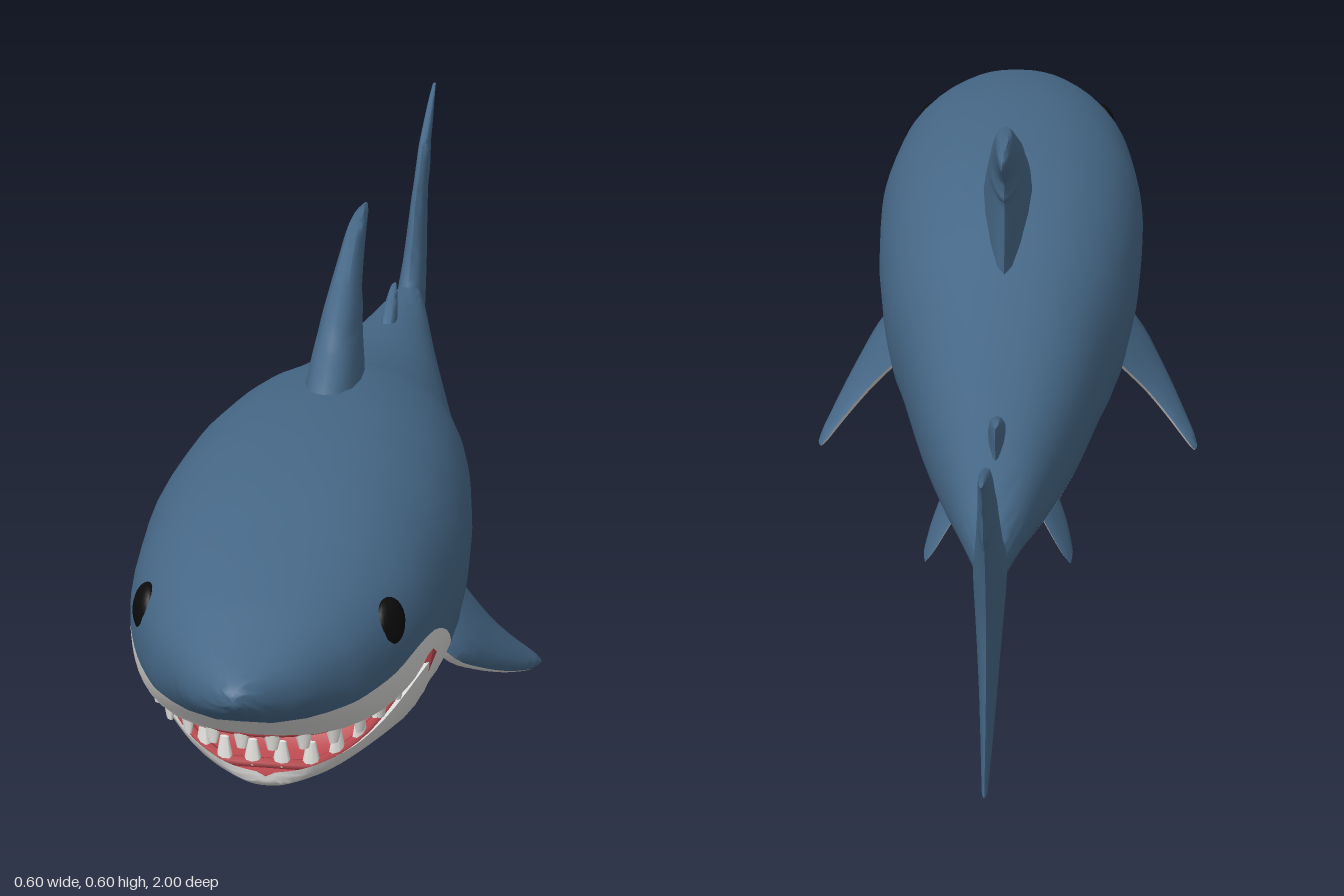
import * as THREE from 'three';
import { toCreasedNormals } from 'three/addons/utils/BufferGeometryUtils.js';

const material = (name, color) => Object.assign(new THREE.MeshStandardMaterial({ color }), { name });
const blue = material('slate blue skin', 0x466887);
const white = material('pale belly', 0xdad9d8);
const red = material('mouth red', 0xb8484e);
const ivory = material('tooth white', 0xe4e3df);
const black = material('eye black', 0x0b0b0b);
const skin = [blue, white, red];
const BLUE = 0, WHITE = 1, RED = 2;

// Smoothly subdivides a table of rows, all columns at once
function resample(rows, n) {
  const out = [];
  for (let i = 0; i < rows.length - 1; i++) {
    const p = k => rows[Math.min(Math.max(i + k, 0), rows.length - 1)];
    for (let k = 0; k < n; k++) {
      const t = k / n, t2 = t * t, t3 = t2 * t;
      out.push(rows[i].map((a, c) => {
        const b = p(1)[c], m0 = (b - p(-1)[c]) / 2, m1 = (p(2)[c] - a) / 2;
        return (2 * t3 - 3 * t2 + 1) * a + (t3 - 2 * t2 + t) * m0 + (3 * t2 - 2 * t3) * b + (t3 - t2) * m1;
      }));
    }
  }
  out.push(rows[rows.length - 1]);
  return out;
}

// Skins closed rings, closes both ends, and sorts the faces by material
function loft(name, rings, materialOf) {
  const n = rings[0].length;
  const collapse = ring => {
    const c = ring.reduce((s, p) => s.add(p), new THREE.Vector3()).divideScalar(n);
    return ring.map(() => c);
  };
  const all = [collapse(rings[0]), ...rings, collapse(rings[rings.length - 1])];
  const pts = all.flat();
  const faces = skin.map(() => []);
  let volume = 0;
  for (let i = 0; i < all.length - 1; i++) {
    for (let j = 0; j < n; j++) {
      const a = i * n + j, b = i * n + (j + 1) % n, d = a + n, c = b + n;
      const m = materialOf(Math.min(Math.max(i - 1, 0), rings.length - 2), j);
      for (const f of [[a, d, b], [b, d, c]]) {
        faces[m].push(f);
        volume += pts[f[0]].dot(pts[f[1]].clone().cross(pts[f[2]]));
      }
    }
  }
  const geo = new THREE.BufferGeometry().setFromPoints(pts);
  const index = [];
  faces.forEach((list, m) => {
    if (!list.length) return;
    geo.addGroup(index.length, list.length * 3, m);
    list.forEach(f => index.push(...(volume < 0 ? [f[0], f[2], f[1]] : f)));
  });
  geo.setIndex(index);
  const mesh = new THREE.Mesh(toCreasedNormals(geo, 1.0), skin);
  mesh.name = name;
  return mesh;
}

// Body cross-section: a slightly squared oval with separate upper and lower heights
const POW = 0.87;
const soft = v => Math.sign(v) * Math.abs(v) ** POW;
function onSection({ z, top, mid, bot, w }, a) {
  const s = Math.sin(a);
  return new THREE.Vector3(w * soft(Math.cos(a)), mid + (s > 0 ? top - mid : mid - bot) * soft(s), z);
}
function angleAt({ mid, bot }, y) {
  const s = Math.min(Math.max((mid - y) / (mid - bot), 0), 1);
  return -Math.asin(s ** (1 / POW));
}
function arc(sec, from, to, n) {
  return Array.from({ length: n }, (_, k) => onSection(sec, from + (to - from) * k / n));
}
// Line across the mouth from p to q, bowed up or down in the middle
function across(p, q, n, bow) {
  return Array.from({ length: n }, (_, k) => {
    const u = k / n, v = p.clone().lerp(q, u);
    v.y += bow * (1 - (2 * u - 1) ** 4);
    return v;
  });
}

// z, top, widest height, bottom, half width, colour border, lip height
const bodyRows = resample([
  [1.0, .352, .345, .338, .004, .30, .30], [.975, .366, .335, .312, .035, .29, .29],
  [.93, .382, .325, .28, .078, .283, .25], [.87, .403, .312, .236, .12, .28, .225],
  [.84, .411, .308, .212, .137, .28, .222], [.78, .425, .30, .165, .163, .282, .23],
  [.72, .436, .292, .12, .183, .29, .245], [.66, .446, .286, .088, .196, .284, .258],
  [.58, .455, .28, .07, .205, .245, .19], [.48, .459, .275, .05, .213, .175, .13],
  [.40, .458, .268, .041, .212, .142, .105], [.28, .45, .26, .037, .205, .134, .1],
  [.12, .423, .238, .041, .184, .135, .1], [0, .388, .225, .055, .157, .14, .11],
  [-.2, .337, .215, .09, .118, .152, .13], [-.4, .305, .22, .148, .076, .182, .17],
  [-.55, .285, .236, .2, .045, .214, .208], [-.63, .277, .245, .214, .027, .227, .222],
  [-.7, .27, .247, .225, .01, .234, .23],
], 3).map(([z, top, mid, bot, w, border, lip]) => ({ z, top, mid, bot, w, border, lip }));
const hinge = bodyRows.find(r => r.z < .65);

// z, widest height, bottom, half width, lip height; ends on the body's own section
const jawRows = [...resample([
  [.79, .139, .124, .012, .136], [.785, .155, .114, .045, .14], [.772, .185, .109, .08, .147],
  [.75, .215, .104, .118, .16], [.72, .25, .098, .15, .182], [.68, .274, .091, .179, .22],
], 3), [hinge.z, hinge.mid, hinge.bot, hinge.w, hinge.lip]]
  .map(([z, mid, bot, w, lip]) => ({ z, top: mid, mid, bot, w, lip }));

function makeBody() {
  const rings = bodyRows.map(r => {
    const b = angleAt(r, r.border), l = Math.min(b, angleAt(r, r.lip)), P = Math.PI;
    const middle = r.z > .65
      ? across(onSection(r, P - l), onSection(r, 2 * P + l), 10, r.z < .85 ? .025 : 0)
      : arc(r, P - l, 2 * P + l, 10);
    return [...arc(r, b, P - b, 24), ...arc(r, P - b, P - l, 4), ...middle, ...arc(r, l, b, 4)];
  });
  return loft('body', rings, (i, j) => {
    if (j < 24) return BLUE;
    const z = bodyRows[i].z;
    return j >= 28 && j < 38 && z > .65 && z < .855 ? RED : WHITE;
  });
}

function makeJaw() {
  const rings = jawRows.map(r => {
    const l = angleAt(r, r.lip), P = Math.PI;
    const floor = across(onSection(r, 2 * P + l), onSection(r, P - l), 12, -Math.min(.03, (r.lip - r.bot) * .4));
    return [...arc(r, P - l, 2 * P + l, 20), ...floor];
  });
  return loft('lowerJaw', rings, (i, j) => (j > 20 && j < 31 ? RED : WHITE));
}

// Row of blunt teeth on a gum that follows the lip
function makeTeeth(name, rows, front, count, height, dir) {
  const group = new THREE.Group();
  group.name = name;
  const side = s => rows.map(r => {
    const p = onSection(r, angleAt(r, r.lip));
    return new THREE.Vector3(s * p.x * .92, r.lip - dir * .003, r.z - .006);
  });
  const path = new THREE.CatmullRomCurve3([...side(-1).reverse(), front, ...side(1)]);
  const gum = new THREE.Mesh(new THREE.TubeGeometry(path, 40, .007, 6), red);
  gum.name = name + 'Gum';
  group.add(gum);
  const geo = new THREE.CylinderGeometry(.006, .0125, height, 8);
  for (let k = 0; k < count; k++) {
    const u = (k + .5) / count, t = path.getTangentAt(u);
    const tooth = new THREE.Mesh(geo, ivory);
    tooth.name = 'tooth';
    tooth.position.copy(path.getPointAt(u));
    tooth.position.y += dir * height * .45;
    tooth.rotation.set(dir < 0 ? Math.PI : 0, -Math.atan2(t.z, t.x) * dir, 0);
    tooth.rotation.order = 'YXZ';
    tooth.rotation.y = -Math.atan2(t.z, t.x);
    tooth.scale.z = .5;
    group.add(tooth);
  }
  return group;
}

// Fin from rows of span, leading edge z, trailing edge z, half thickness
function makeFin(name, rows, place, underside = BLUE) {
  const N = 14;
  const rings = resample(rows, 3).map(([s, lead, trail, half]) =>
    Array.from({ length: N }, (_, k) => {
      const a = k / N * 2 * Math.PI, c = Math.cos(a);
      return place(s, trail + (lead - trail) * (1 + c) / 2, half * Math.sin(a) * (.85 + .35 * c));
    }));
  return loft(name, rings, (i, j) => (j < N / 2 ? BLUE : underside));
}

export function createModel() {
  const model = new THREE.Group();
  model.name = 'shark';
  model.add(makeBody(), makeJaw());

  model.add(makeTeeth('upperTeeth', bodyRows.filter(r => r.z < .842 && r.z > .67),
    new THREE.Vector3(0, .226, .85), 14, .026, -1));
  model.add(makeTeeth('lowerTeeth', jawRows.filter(r => r.z < .78 && r.z > .67),
    new THREE.Vector3(0, .142, .777), 12, .034, 1));

  // Upright fins on the centre line
  const upright = (s, z, t) => new THREE.Vector3(t, s, z);
  model.add(makeFin('dorsalFin', [
    [.37, .40, -.02, .05], [.45, .31, -.005, .039], [.488, .25, 0, .033], [.498, .236, -.018, .031],
    [.52, .205, -.012, .027], [.55, .145, -.055, .021], [.575, .088, -.105, .016],
    [.59, .045, -.125, .013], [.6, -.02, -.08, .007],
  ], upright));
  model.add(makeFin('rearDorsalFin', [
    [.27, -.30, -.46, .016], [.31, -.35, -.458, .013], [.33, -.39, -.462, .01], [.345, -.43, -.46, .005],
  ], upright));
  model.add(makeFin('tailFin', [
    [.065, -.895, -.92, .004], [.08, -.82, -.91, .007], [.11, -.73, -.885, .011], [.15, -.67, -.86, .015],
    [.2, -.62, -.842, .02], [.25, -.59, -.835, .024], [.3, -.655, -.85, .02], [.35, -.695, -.868, .016],
    [.395, -.73, -.892, .013], [.41, -.745, -.922, .012], [.46, -.81, -.932, .01],
    [.475, -.838, -.955, .009], [.51, -.925, -.975, .006], [.53, -.985, -1.0, .003],
  ], upright));

  for (const s of [1, -1]) {
    const side = s > 0 ? 'left' : 'right';
    // Slanted paired fins, pale beneath
    const slanted = (x, y, dx, dy) => (d, z, t) => {
      const len = Math.hypot(dx, dy);
      return new THREE.Vector3(s * (x + dx * d - dy / len * t), y + dy * d + dx / len * t, z);
    };
    model.add(makeFin(side + 'PectoralFin', [
      [0, .43, .2, .034], [.3, .412, .213, .029], [.5, .37, .215, .023], [.7, .315, .203, .017],
      [.85, .265, .187, .012], [.95, .225, .178, .009], [1, .195, .18, .005],
    ], slanted(.155, .165, .142, -.16), WHITE));
    model.add(makeFin(side + 'PelvicFin', [
      [0, -.18, -.33, .013], [.4, -.21, -.345, .011], [.75, -.25, -.355, .008], [1, -.30, -.352, .004],
    ], slanted(.062, .145, .04, -.06), WHITE));

    const eye = new THREE.Mesh(new THREE.SphereGeometry(.031, 20, 14), black);
    eye.name = side + 'Eye';
    eye.position.set(s * .152, .345, .768);
    eye.rotation.set(0, -s * .35, s * .2);
    eye.scale.x = .5;
    model.add(eye);
  }
  return model;
}
